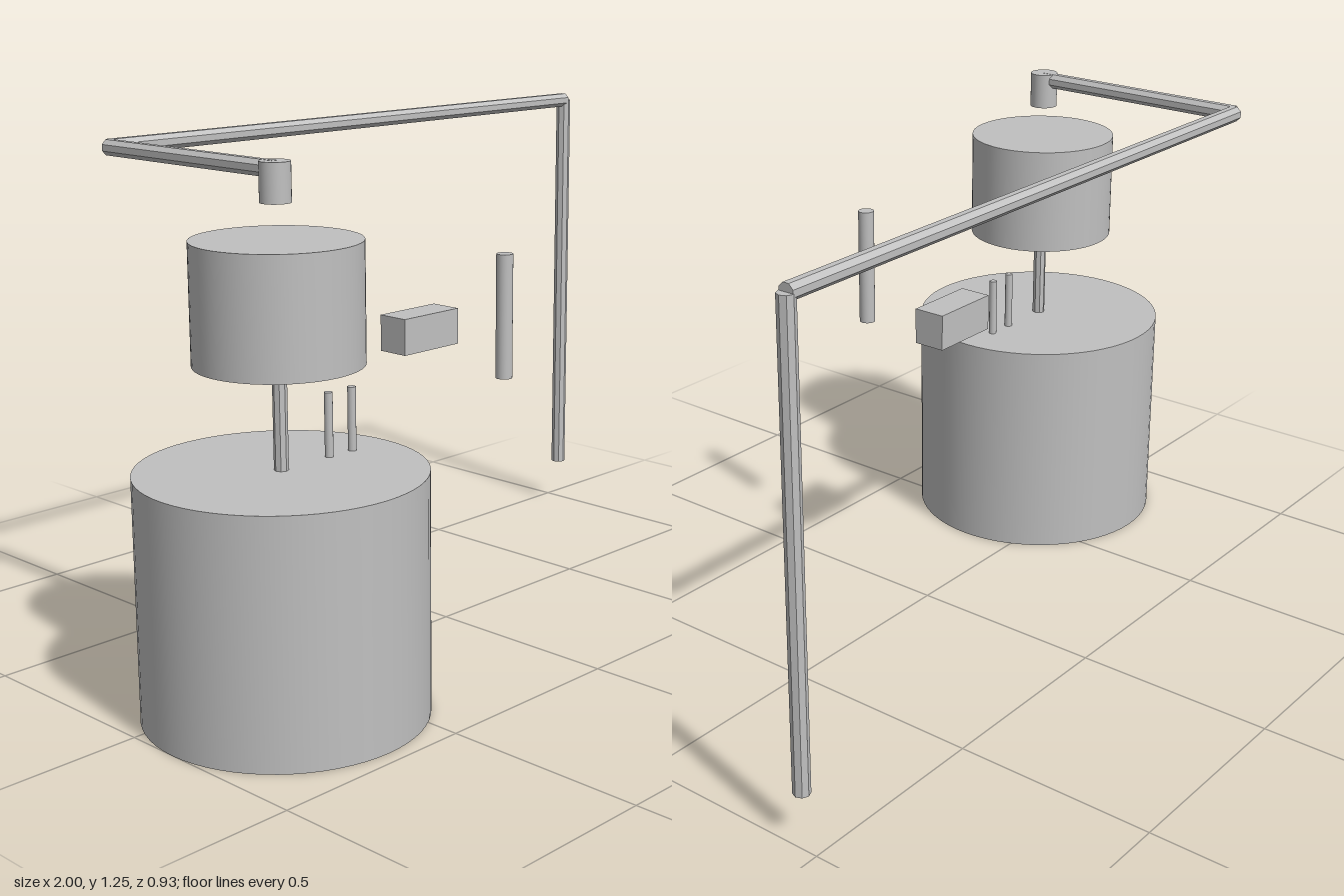
import * as THREE from 'three';

export function createModel() {
  const model = new THREE.Group();
  model.name = 'tankAndPipeRig';
  const grey = new THREE.MeshStandardMaterial({ color: 0xc0c0c0 });
  grey.name = 'plainGrey';

  const add = (name, geometry, x, y, z) => {
    const mesh = new THREE.Mesh(geometry, grey);
    mesh.name = name;
    mesh.position.set(x, y, z);
    model.add(mesh);
    return mesh;
  };

  // Upright smooth cylinder between two heights
  const upright = (name, r, y0, y1, x, z, sides = 64) =>
    add(name, new THREE.CylinderGeometry(r, r, y1 - y0, sides), x, (y0 + y1) / 2, z);

  // Faceted eight-sided bar between two points, flats facing the axes if turned
  const bar = (name, r, a, b, turned = false) => {
    const start = new THREE.Vector3(...a);
    const dir = new THREE.Vector3(...b).sub(start);
    let geometry = new THREE.CylinderGeometry(r, r, dir.length(), 8);
    if (turned) geometry.rotateY(Math.PI / 8);
    geometry = geometry.toNonIndexed();
    geometry.computeVertexNormals();
    const mid = start.clone().addScaledVector(dir, 0.5);
    const mesh = add(name, geometry, mid.x, mid.y, mid.z);
    mesh.quaternion.setFromUnitVectors(new THREE.Vector3(0, 1, 0), dir.normalize());
  };

  const cx = -0.672, cz = 0.135, backZ = -0.445, pipeY = 1.233, postX = 0.98;

  // Stacked drums on a common axis
  upright('lowerTank', 0.329, 0, 0.57, cx, cz);
  upright('upperDrum', 0.19, 0.81, 1.083, cx, cz);
  upright('nozzle', 0.035, 1.162, 1.251, cx, cz, 32);
  bar('centreRod', 0.0165, [cx, 0.57, cz], [cx, 0.81, cz]);

  // Two probes standing on the tank
  [-0.528, -0.456].forEach((x, i) => upright('probe' + (i + 1), 0.01, 0.57, 0.72, x, cz, 12));

  // Pipe run: back from the nozzle, across, then down
  bar('armPipe', 0.02, [cx, pipeY, cz], [cx, pipeY, backZ], true);
  bar('crossPipe', 0.02, [cx, pipeY, backZ], [postX, pipeY, backZ], true);
  bar('downPipe', 0.02, [postX, pipeY, backZ], [postX, 0.123, backZ]);

  // Free-standing parts beside the tank
  upright('looseTube', 0.02, 0.692, 0.99, -0.072, 0.256, 24);
  add('looseBlock', new THREE.BoxGeometry(0.188, 0.09, 0.083), -0.066, 0.766, -0.027);

  return model;
}
